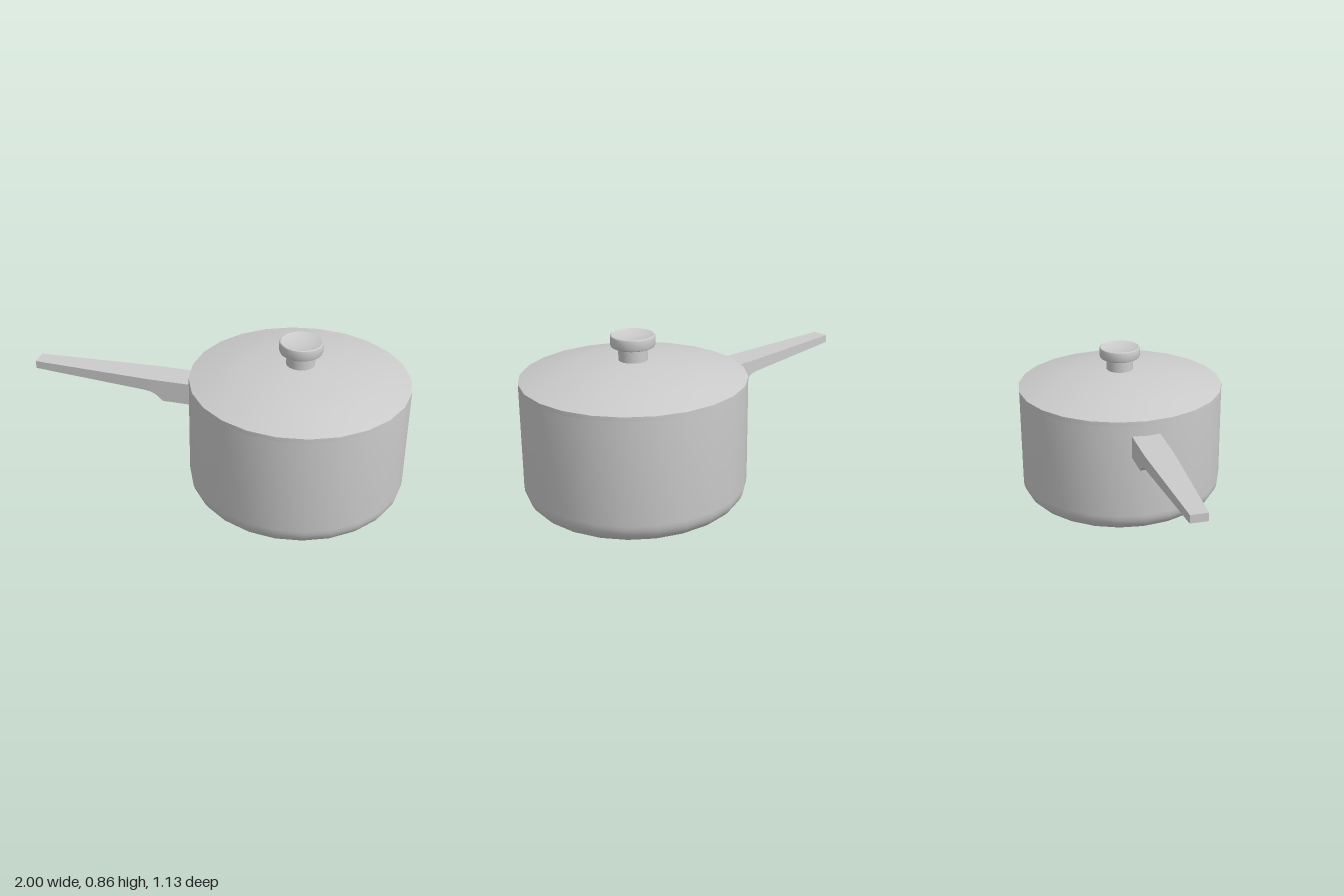
import * as THREE from 'three';
import { toCreasedNormals } from 'three/addons/utils/BufferGeometryUtils.js';

const POT_X = 0.435, RADIUS = 0.565;
const material = new THREE.MeshStandardMaterial({ color: 0xcccccc });
const flatMaterial = new THREE.MeshStandardMaterial({ color: 0xcccccc, flatShading: true });

// Turned part about the pot axis, profile given as [radius, y] from bottom to top
function turned(name, profile, sides) {
  const points = profile.map(([r, y]) => new THREE.Vector2(r, y));
  const geometry = toCreasedNormals(new THREE.LatheGeometry(points, sides), 0.6);
  const mesh = new THREE.Mesh(geometry, material);
  mesh.name = name;
  mesh.position.x = POT_X;
  return mesh;
}

// Quarter-round between two profile points, centred on (cr, cy)
function bottomRound(cr, cy, radius, steps) {
  return Array.from({ length: steps + 1 }, (_, i) => {
    const a = (i / steps) * Math.PI / 2;
    return [cr + radius * Math.sin(a), cy - radius * Math.cos(a)];
  });
}

// Four-sided bar lofted through stations [x, bottom, top, halfWidth], x rising
function loftedBar(name, stations) {
  const positions = [], index = [];
  for (const [x, bottom, top, w] of stations) {
    positions.push(x, bottom, -w, x, bottom, w, x, top, w, x, top, -w);
  }
  const quad = (a, b, c, d) => index.push(a, b, c, a, c, d);
  for (let s = 0; s < stations.length - 1; s++) {
    for (let k = 0; k < 4; k++) {
      const a = s * 4 + k, b = s * 4 + (k + 1) % 4;
      quad(a, a + 4, b + 4, b);
    }
  }
  const e = (stations.length - 1) * 4;
  quad(0, 1, 2, 3);
  quad(e + 3, e + 2, e + 1, e);
  const geometry = new THREE.BufferGeometry();
  geometry.setAttribute('position', new THREE.Float32BufferAttribute(positions, 3));
  geometry.setIndex(index);
  geometry.computeVertexNormals();
  const mesh = new THREE.Mesh(geometry, flatMaterial);
  mesh.name = name;
  return mesh;
}

export function createModel() {
  const group = new THREE.Group();
  group.name = 'saucepan';

  // Hollow pot: flat base, rounded lower edge, straight wall, inner wall
  const wall = 0.015;
  group.add(turned('pot', [
    [0, 0], ...bottomRound(RADIUS - 0.11, 0.11, 0.11, 7),
    [RADIUS, 0.63], [RADIUS - wall, 0.63],
    ...bottomRound(RADIUS - 0.11, 0.11, 0.11 - wall, 7).reverse(), [0, wall],
  ], 24));

  // Domed lid with a short vertical rim
  group.add(turned('lid', [
    [0, 0.63], [RADIUS, 0.63], [RADIUS, 0.651],
    [0.4, 0.697], [0.29, 0.716], [0.17, 0.73], [0.08, 0.737], [0, 0.738],
  ], 24));

  // Knob: stem and dished head
  group.add(turned('knobStem', [[0.073, 0.73], [0.073, 0.808]], 32));
  group.add(turned('knobHead', [
    [0, 0.803], [0.098, 0.803], [0.107, 0.807], [0.111, 0.817],
    [0.111, 0.856], [0.109, 0.862], [0.104, 0.864],
    [0.095, 0.861], [0.06, 0.853], [0, 0.849],
  ], 32));

  // Tapered handle with a deeper root against the pot
  group.add(loftedBar('handle', [
    [-1, 0.528, 0.57, 0.044],
    [-0.38, 0.503, 0.57, 0.074],
    [-0.345, 0.498, 0.57, 0.075],
    [-0.315, 0.485, 0.57, 0.075],
    [-0.275, 0.45, 0.57, 0.075],
    [-0.118, 0.45, 0.57, 0.075],
  ]));

  return group;
}
